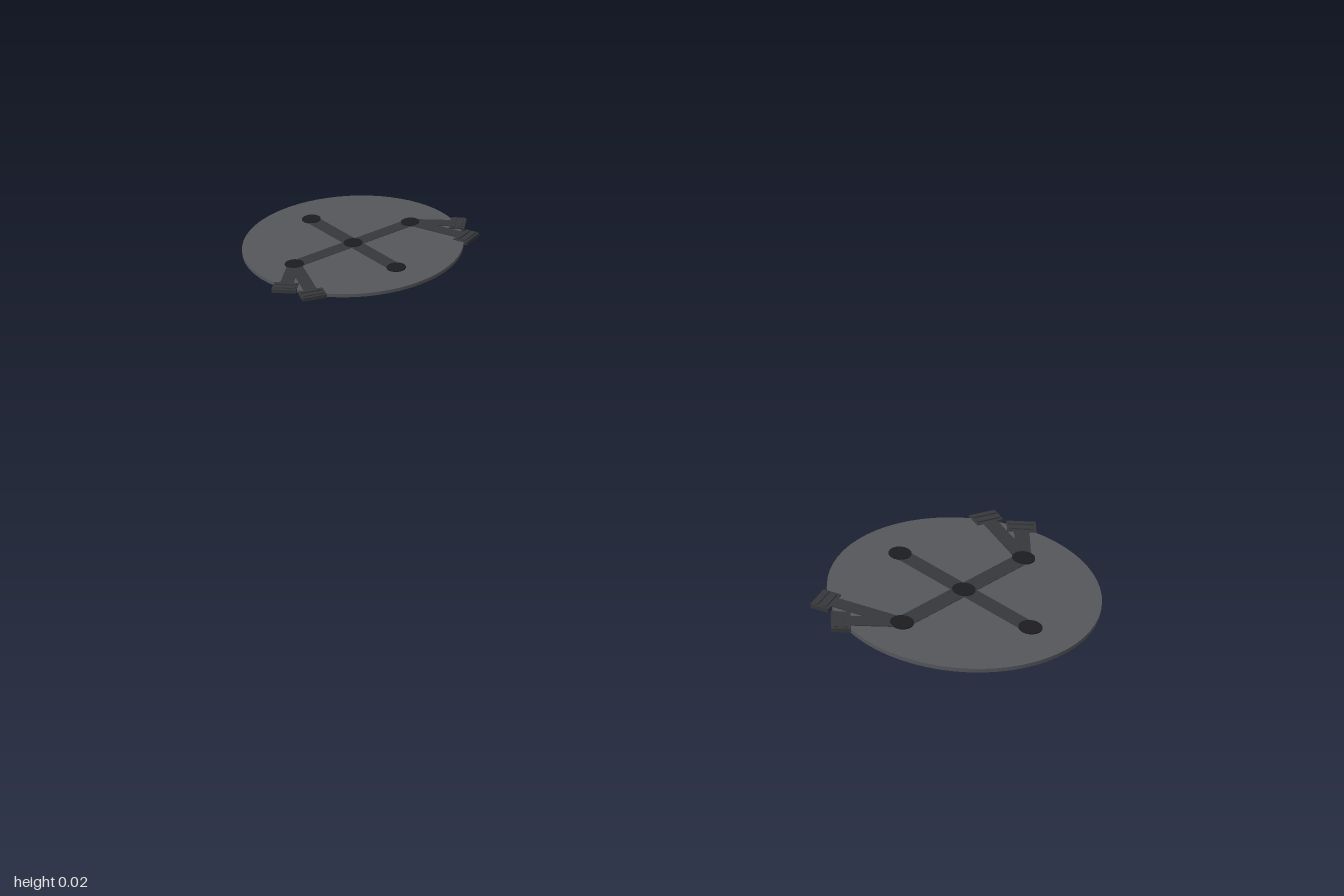
import * as THREE from 'three';

const mat = (color) => new THREE.MeshStandardMaterial({ color });
const plateMat = mat(0x55565a);
const strapMat = mat(0x36373a);
const darkMat = mat(0x1c1d20);

function add(parent, name, geometry, material, x = 0, y = 0, z = 0) {
  const mesh = new THREE.Mesh(geometry, material);
  mesh.name = name;
  mesh.position.set(x, y, z);
  parent.add(mesh);
  return mesh;
}

// Strap running outward along local +x, ending in a ridged tab over the rim
function makeClip(length) {
  const clip = new THREE.Group();
  clip.name = 'rimClip';
  add(clip, 'strap', new THREE.BoxGeometry(length, 0.003, 0.024), strapMat, length / 2, 0.0132, 0);
  add(clip, 'tab', new THREE.BoxGeometry(0.03, 0.007, 0.046), strapMat, length - 0.015, 0.0112, 0);
  for (const d of [0.008, 0.022]) {
    add(clip, 'tabRidge', new THREE.BoxGeometry(0.007, 0.003, 0.04), strapMat, length - d, 0.0155, 0);
  }
  return clip;
}

// One round plate with its clips on the +x side
function makePlate() {
  const plate = new THREE.Group();

  // Narrower base under a wider disc
  add(plate, 'base', new THREE.CylinderGeometry(0.197, 0.197, 0.007, 64), darkMat, 0, 0.0035, 0);
  add(plate, 'disc', new THREE.CylinderGeometry(0.21, 0.21, 0.0065, 64), plateMat, 0, 0.0098, 0);

  // Cross of two bars, nearly flush with the disc
  add(plate, 'crossBarX', new THREE.BoxGeometry(0.272, 0.002, 0.028), strapMat, 0, 0.0127, 0);
  add(plate, 'crossBarZ', new THREE.BoxGeometry(0.028, 0.0022, 0.272), strapMat, 0, 0.0127, 0);

  // Round pins at the centre and the bar ends
  for (const [x, z] of [[0, 0], [0.136, 0], [-0.136, 0], [0, 0.136], [0, -0.136]]) {
    add(plate, 'pin', new THREE.CylinderGeometry(0.018, 0.018, 0.003, 20), darkMat, x, 0.0135, z);
  }

  // Two diverging clips at the front and back pins
  for (const side of [1, -1]) {
    for (const [angle, length] of [[0.8, 0.107], [0.35, 0.142]]) {
      const clip = makeClip(length);
      clip.position.z = side * 0.136;
      clip.rotation.y = -side * angle;
      plate.add(clip);
    }
  }
  return plate;
}

export function createModel() {
  const model = new THREE.Group();
  model.name = 'plates';
  // Clips on both plates point toward the middle
  for (const side of [1, -1]) {
    const plate = makePlate();
    plate.name = side > 0 ? 'leftPlate' : 'rightPlate';
    plate.position.x = side * 0.79;
    if (side > 0) plate.rotation.y = Math.PI;
    model.add(plate);
  }
  return model;
}
